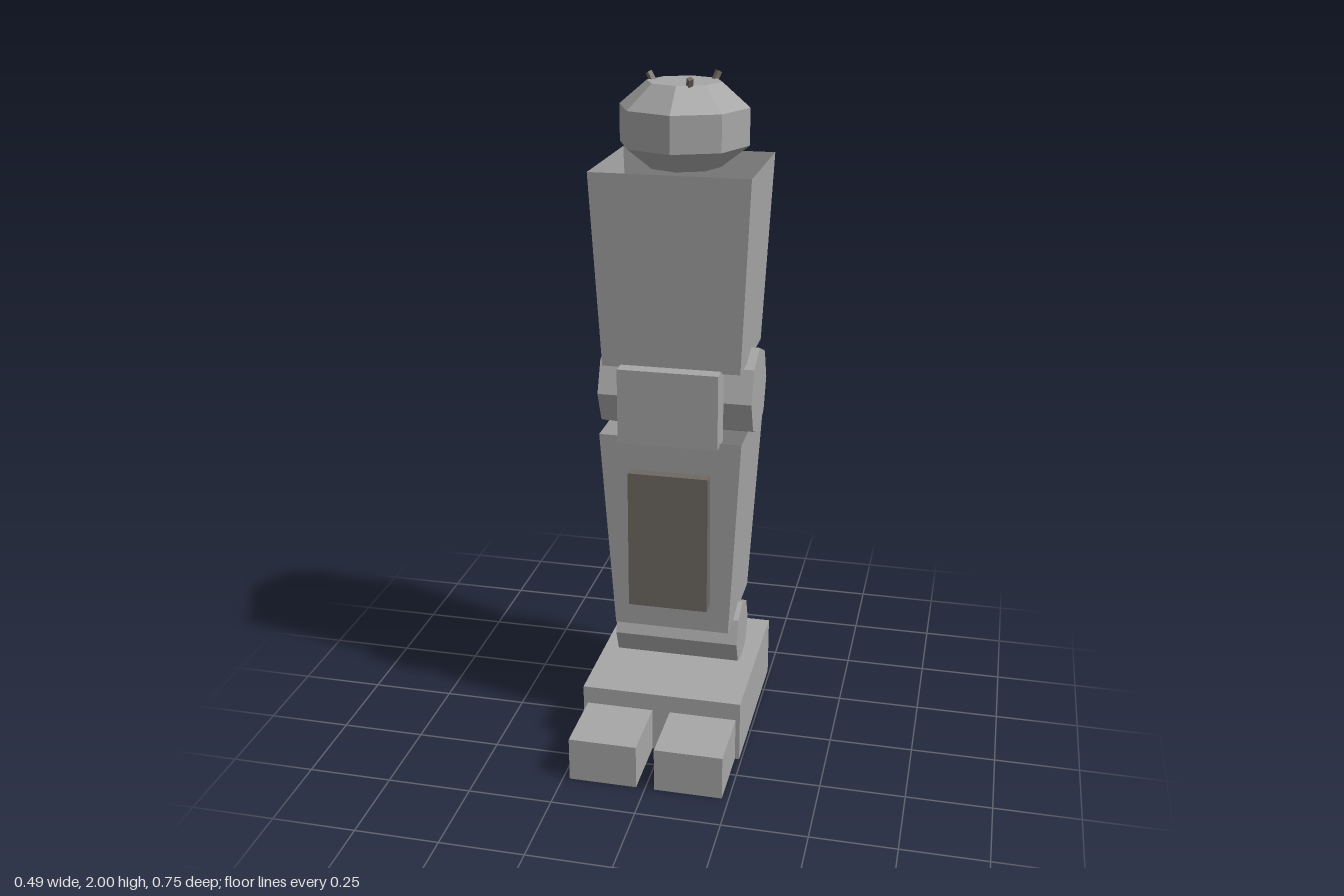
import * as THREE from 'three';

const grey = new THREE.MeshStandardMaterial({ color: 0xa6a6a6, flatShading: true, side: THREE.DoubleSide });
grey.name = 'grey armour';
const brown = new THREE.MeshStandardMaterial({ color: 0x6f6862, flatShading: true });
brown.name = 'dark brown';

const AXIS_Z = -0.145; // the leg stands behind the middle of the foot

export function createModel() {
  const model = new THREE.Group();
  model.name = 'mechanicalLeg';

  const add = (name, geometry, material = grey) => {
    const mesh = new THREE.Mesh(geometry, material);
    mesh.name = name;
    model.add(mesh);
    return mesh;
  };

  // Box given by its limits on each axis
  const box = (name, [x0, x1], [y0, y1], [z0, z1], material) =>
    add(name, new THREE.BoxGeometry(x1 - x0, y1 - y0, z1 - z0), material)
      .position.set((x0 + x1) / 2, (y0 + y1) / 2, (z0 + z1) / 2);

  // Four-sided tapered shell, open at both ends; top and bottom are half sizes in x and z
  const shell = (name, y0, y1, bottom, top, z) => {
    const g = new THREE.CylinderGeometry(Math.SQRT2, Math.SQRT2, y1 - y0, 4, 1, true)
      .rotateY(Math.PI / 4).toNonIndexed();
    const p = g.attributes.position;
    for (let i = 0; i < p.count; i++) {
      const half = p.getY(i) > 0 ? top : bottom;
      p.setX(i, p.getX(i) * half[0]);
      p.setZ(i, p.getZ(i) * half[1]);
    }
    g.computeVertexNormals();
    add(name, g).position.set(0, (y0 + y1) / 2, z);
  };

  // Eight-sided hinge lying across the leg
  const hinge = (name, y, radius, width) =>
    add(name, new THREE.CylinderGeometry(radius, radius, width, 8).rotateZ(Math.PI / 2))
      .position.set(0, y, -0.142);

  // Foot with two toes
  box('foot', [-0.243, 0.243], [0, 0.19], [-0.375, 0.165]);
  for (const s of [-1, 1]) {
    box(s > 0 ? 'leftToe' : 'rightToe', s > 0 ? [0.027, 0.23] : [-0.23, -0.027], [0, 0.135], [0.165, 0.375]);
  }

  // Ankle, shin, knee and thigh
  hinge('ankle', 0.272, 0.1, 0.385);
  shell('shin', 0.345, 0.975, [0.176, 0.17], [0.212, 0.195], -0.151);
  box('shinPlate', [-0.12, 0.12], [0.44, 0.87], [-0.005, 0.074], brown);
  hinge('knee', 1.08, 0.133, 0.46);
  box('kneecap', [-0.148, 0.148], [0.965, 1.19], [-0.008, 0.076]);
  shell('thigh', 1.183, 1.75, [0.203, 0.175], [0.23, 0.201], AXIS_Z);

  // Faceted hip ball
  const profile = [[0, 1.74], [0.108, 1.74], [0.188, 1.803], [0.188, 1.908], [0.108, 1.976], [0, 1.976]]
    .map(([r, y]) => new THREE.Vector2(r, y));
  add('hipBall', new THREE.LatheGeometry(profile, 8)).position.z = -0.147;

  // Three short pins leaning outwards on the ball
  const up = new THREE.Vector3(0, 1, 0);
  [[0.077, -0.066], [-0.098, -0.016], [0.035, 0.094]].forEach(([x, z], i) => {
    const pin = add('pin' + (i + 1), new THREE.CylinderGeometry(0.01, 0.01, 0.036, 4), brown);
    const lean = new THREE.Vector3(x, 0, z).normalize().multiplyScalar(0.55).add(up).normalize();
    pin.quaternion.setFromUnitVectors(up, lean);
    pin.position.set(x, 1.98, z - 0.147);
  });

  return model;
}
